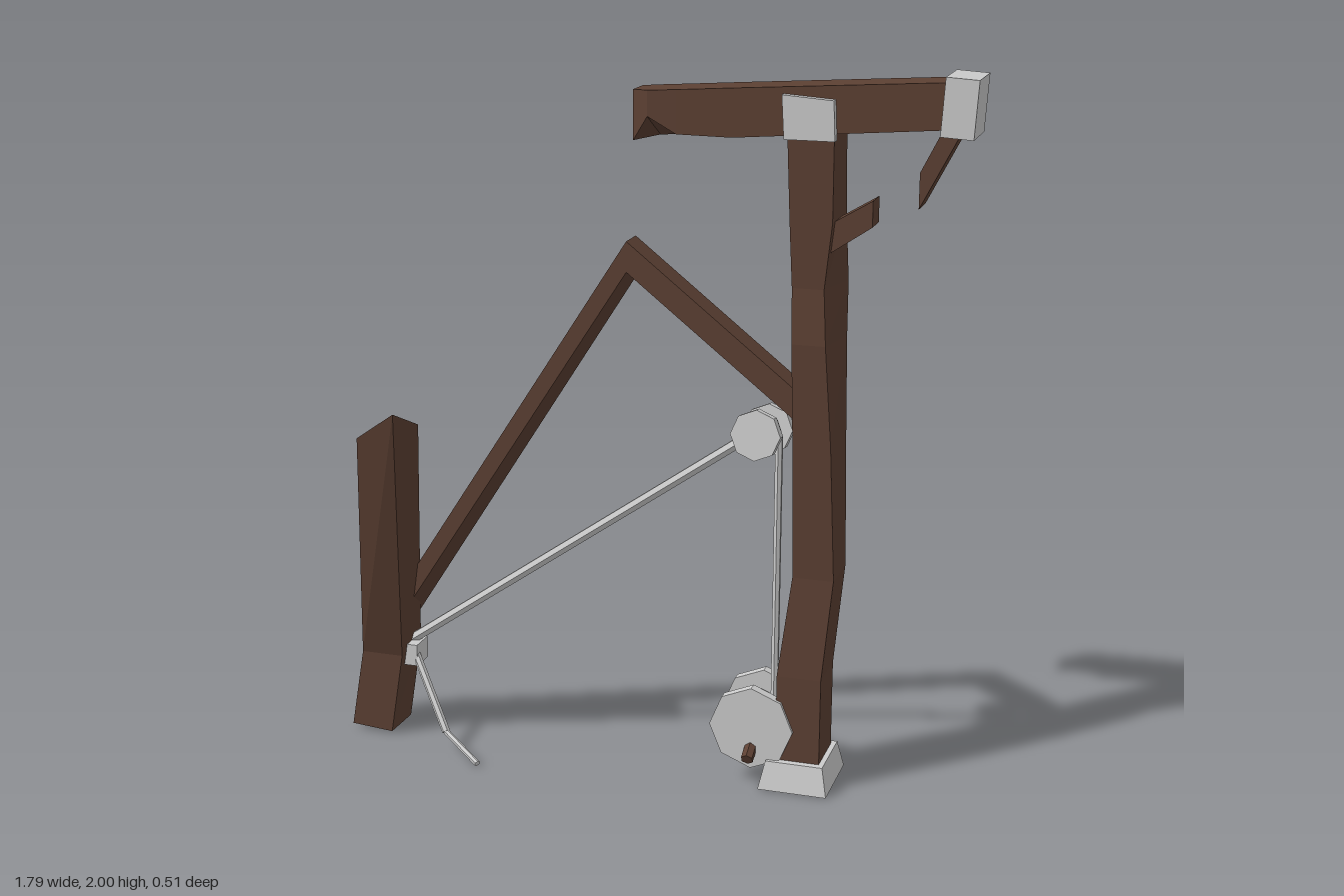
import * as THREE from 'three';

const wood = new THREE.MeshStandardMaterial({ color: 0x5c4033, flatShading: true });
const metal = new THREE.MeshStandardMaterial({ color: 0xcccccc, flatShading: true });

export function createModel() {
  const root = new THREE.Group();

  const add = (name, geometry, material, x = 0, y = 0, z = 0) => {
    const mesh = new THREE.Mesh(geometry, material);
    mesh.name = name;
    mesh.position.set(x, y, z);
    root.add(mesh);
    return mesh;
  };

  // Skin of four-cornered sections, counterclockwise seen from the last one
  const loft = (sections) => {
    const pos = [];
    const quad = (a, b, c, d) => pos.push(...a, ...b, ...c, ...a, ...c, ...d);
    for (let s = 0; s + 1 < sections.length; s++) {
      for (let i = 0; i < 4; i++) {
        const j = (i + 1) % 4;
        quad(sections[s][i], sections[s][j], sections[s + 1][j], sections[s + 1][i]);
      }
    }
    quad(...sections[0].slice().reverse());
    quad(...sections.at(-1));
    const g = new THREE.BufferGeometry();
    g.setAttribute('position', new THREE.Float32BufferAttribute(pos, 3));
    g.computeVertexNormals();
    return g;
  };

  // Level section of an upright timber; backRight may differ from right
  const level = (y, left, right, front, back, backRight = right) =>
    [[left, y, front], [right, y, front], [backRight, y, back], [left, y, back]];

  // Upright section of a timber running along x
  const slice = (x, bottom, top, front, back, frontBottom = bottom) =>
    [[x, frontBottom, front], [x, bottom, back], [x, top, back], [x, top, front]];

  // Straight round bar between two points
  const bar = (name, a, b, r, material, sides = 6) => {
    const p = new THREE.Vector3(...a), q = new THREE.Vector3(...b);
    const d = q.clone().sub(p);
    const mesh = add(name, new THREE.CylinderGeometry(r, r, d.length(), sides), material);
    mesh.position.copy(p).add(q).multiplyScalar(0.5);
    mesh.quaternion.setFromUnitVectors(new THREE.Vector3(0, 1, 0), d.normalize());
    return mesh;
  };

  // Worn main post
  add('mainPost', loft([
    level(0.03, 0.40, 0.525, 0, -0.15),
    level(0.33, 0.40, 0.525, 0, -0.15),
    level(0.62, 0.435, 0.55, -0.015, -0.165),
    level(1.00, 0.43, 0.535, -0.005, -0.15, 0.545),
    level(1.28, 0.423, 0.515, 0, -0.15, 0.54),
    level(1.43, 0.418, 0.505, -0.012, -0.15, 0.54),
    level(1.61, 0.41, 0.525, -0.005, -0.15, 0.53),
    level(1.86, 0.40, 0.525, 0, -0.15),
  ]), wood);

  // Tapered hollow foot collar
  const collar = new THREE.LatheGeometry([
    [0.075, 0], [0.1, 0], [0.083, 0.08], [0.06, 0.08], [0.075, 0],
  ].map(([r, y]) => new THREE.Vector2(r * Math.SQRT2, y)), 4);
  collar.rotateY(Math.PI / 4);
  collar.scale(0.98, 1, 1.15);
  const collarMaterial = metal.clone();
  collarMaterial.side = THREE.DoubleSide;
  add('footCollar', collar, collarMaterial, 0.458, 0, -0.075);

  // Top beam with a chipped left end
  add('topBeam', loft([
    slice(-0.03, 1.795, 1.93, -0.04, -0.125),
    slice(0.02, 1.80, 1.934, -0.005, -0.126, 1.865),
    slice(0.1, 1.805, 1.939, -0.003, -0.128, 1.822),
    slice(0.25, 1.82, 1.949, -0.005, -0.13),
    slice(0.83, 1.865, 1.985, -0.015, -0.14),
  ]), wood);
  const endCap = add('beamEndCap', new THREE.BoxGeometry(0.086, 0.152, 0.16), metal, 0.845, 1.921, -0.08);
  endCap.rotation.z = -0.06;
  for (const z of [0.003, -0.153]) {
    add('beamBracket', loft([
      level(1.825, 0.395, 0.53, z + 0.012, z - 0.012),
      [[0.388, 1.94, z + 0.012], [0.525, 1.93, z + 0.012], [0.525, 1.93, z - 0.012], [0.388, 1.94, z - 0.012]],
    ]), metal);
  }

  // Two stumps of the broken brace
  add('upperBraceStump', loft([
    slice(0.745, 1.655, 1.75, -0.025, -0.12),
    [[0.845, 1.85, -0.025], [0.845, 1.85, -0.12], [0.795, 1.85, -0.12], [0.795, 1.85, -0.025]],
  ]), wood);
  add('lowerBraceStump', loft([
    slice(0.50, 1.515, 1.595, -0.03, -0.11),
    slice(0.625, 1.60, 1.67, -0.03, -0.11),
  ]), wood);

  // Bent boom joining both posts
  add('boom', loft([
    slice(-0.79, 0.245, 0.37, -0.04, -0.125, 0.29),
    slice(-0.05, 1.405, 1.52, -0.04, -0.125, 1.435),
    slice(0.45, 1.03, 1.125, -0.04, -0.125, 1.04),
  ]), wood);

  // Leaning post with a slanted broken top
  add('leaningPost', loft([
    [[-0.895, 0.015, 0], [-0.77, 0.005, 0], [-0.77, 0, -0.14], [-0.885, 0.01, -0.14]],
    level(0.25, -0.855, -0.73, 0, -0.14),
    [[-0.755, 0.97, 0.2], [-0.62, 1.065, 0.255], [-0.62, 0.99, 0.085], [-0.72, 0.94, 0.07]],
  ]), wood);

  // Pulley and winch: octagonal flanges on an axle
  const spool = (name, y, r, core, tilt) => {
    const group = new THREE.Group();
    group.name = name;
    group.position.set(0.33, y, -0.075);
    group.rotation.x = tilt;
    for (const [part, radius, length, z] of [
      ['frontFlange', r, 0.03, 0.07], ['backFlange', r, 0.03, -0.07],
      ['axle', core * 0.6, 0.15, 0], ['ropeCoil', core, 0.06, 0],
    ]) {
      const mesh = new THREE.Mesh(new THREE.CylinderGeometry(radius, radius, length, 8), metal);
      mesh.name = part;
      mesh.rotation.x = Math.PI / 2;
      mesh.position.z = z;
      group.add(mesh);
    }
    root.add(group);
  };
  spool('pulley', 1.01, 0.07, 0.045, -0.14);
  spool('winch', 0.168, 0.12, 0.075, 0);

  // Crank handles on both flanges
  bar('frontHandle', [0.33, 0.115, -0.01], [0.33, 0.088, 0.045], 0.018, wood);
  bar('backHandle', [0.33, 0.225, -0.145], [0.33, 0.195, -0.253], 0.016, wood);

  // Rope: winch to pulley to the knot, with a loose end
  bar('verticalRope', [0.376, 0.18, -0.075], [0.376, 1.0, -0.075], 0.011, metal);
  bar('longRope', [0.33, 1.02, -0.08], [-0.73, 0.275, -0.08], 0.016, metal);
  add('ropeKnot', new THREE.BoxGeometry(0.06, 0.065, 0.08), metal, -0.725, 0.243, -0.07);
  const loose = [[-0.71, 0.25, -0.05], [-0.575, 0.052, 0.05], [-0.445, 0.006, 0.135]];
  bar('looseRope', loose[0], loose[1], 0.012, metal);
  const tip = bar('looseRopeEnd', loose[1], loose[2], 0.011, metal);
  tip.scale.set(0.8, 1, 0.8);

  return root;
}
